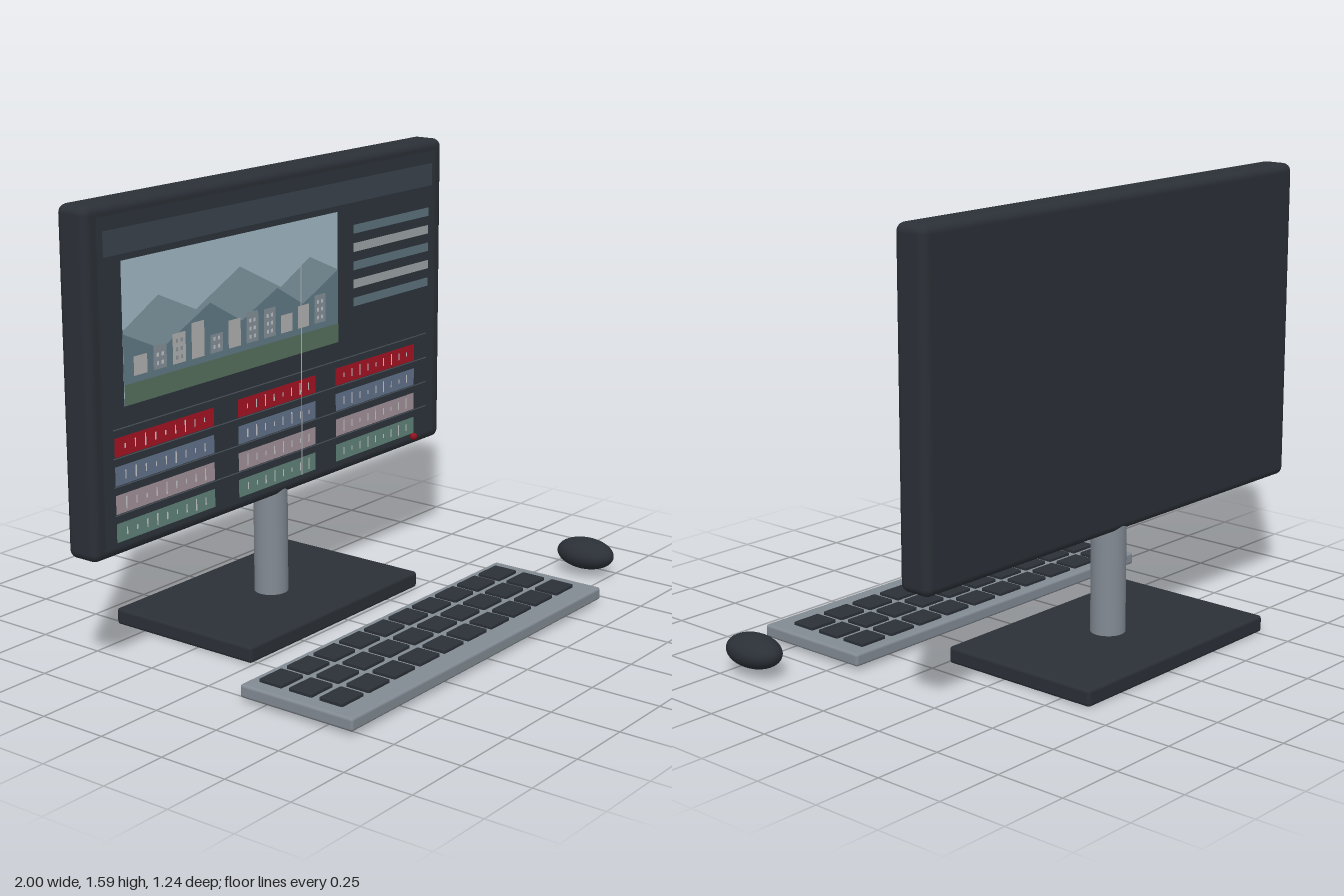
import * as THREE from 'three';
import { RoundedBoxGeometry } from 'three/addons/geometries/RoundedBoxGeometry.js';

const CX = -0.0475; // shared centre line of monitor, stand and base
const FRONT = -0.249; // front face of the monitor
const DARK = 0x2b3037, GREY = 0x828a93;

const materials = new Map();
function paint(color) {
  if (!materials.has(color)) materials.set(color, new THREE.MeshStandardMaterial({ color }));
  return materials.get(color);
}

function add(parent, name, geometry, color, x = 0, y = 0, z = 0) {
  const mesh = new THREE.Mesh(geometry, paint(color));
  mesh.name = name;
  mesh.position.set(x, y, z);
  parent.add(mesh);
  return mesh;
}

function roundedBox(parent, name, color, [x0, x1], [y0, y1], [z0, z1], radius) {
  const g = new RoundedBoxGeometry(x1 - x0, y1 - y0, z1 - z0, 3, radius);
  return add(parent, name, g, color, (x0 + x1) / 2, (y0 + y1) / 2, (z0 + z1) / 2);
}

// Flat rectangle on the screen; layer sets how far it sits in front
function panel(parent, name, color, x0, x1, y0, y1, layer) {
  return add(parent, name, new THREE.PlaneGeometry(x1 - x0, y1 - y0), color,
    (x0 + x1) / 2, (y0 + y1) / 2, FRONT + layer * 0.001);
}

// Ridge line closed down to a floor height
function ridge(parent, name, color, points, floor, layer) {
  const shape = new THREE.Shape();
  shape.moveTo(points[0][0], floor);
  points.forEach(([x, y]) => shape.lineTo(x, y));
  shape.lineTo(points[points.length - 1][0], floor);
  shape.closePath();
  add(parent, name, new THREE.ShapeGeometry(shape), color, 0, 0, FRONT + layer * 0.001);
}

function createPreview() {
  const preview = new THREE.Group();
  preview.name = 'previewPicture';
  const L = -0.848, R = 0.259;
  panel(preview, 'sky', 0xa5bdc9, L, R, 0.925, 1.396, 2);
  ridge(preview, 'farMountains', 0x829aa5, [[L, 1.17], [-0.68, 1.26], [-0.5, 1.18], [-0.275, 1.286],
    [-0.06, 1.18], [0.1, 1.26], [R, 1.19]], 0.99, 3);
  ridge(preview, 'nearMountains', 0x627c88, [[L, 1.16], [-0.67, 1.08], [-0.43, 1.19], [-0.27, 1.1],
    [-0.08, 1.18], [0.06, 1.1], [R, 1.19]], 0.99, 4);
  panel(preview, 'ground', 0x58735f, L, R, 0.925, 0.994, 5);

  // Skyline
  const heights = [0.064, 0.08, 0.102, 0.122, 0.064, 0.096, 0.107, 0.102, 0.064, 0.08, 0.102];
  heights.forEach((h, i) => {
    const x = -0.803 + i * 0.0925, y = 1.016;
    const pale = [0, 2, 3, 5, 8, 9].includes(i);
    panel(preview, 'building', pale ? 0xb4b4b4 : 0x87929c, x, x + 0.063, y, y + h, 5);
    if (pale && i !== 2) return;
    for (let wy = y + 0.014; wy < y + h - 0.015; wy += 0.028)
      for (const wx of [0.014, 0.037])
        panel(preview, 'window', pale ? 0x8d979e : 0xc4c8ca, x + wx, x + wx + 0.011, wy, wy + 0.013, 6);
  });
  return preview;
}

function createTimeline() {
  const timeline = new THREE.Group();
  timeline.name = 'timeline';
  const columns = [[-0.9, -0.42], [-0.295, 0.128], [0.246, 0.727]];
  [0xa81424, 0x64748e, 0xa4949c, 0x62857b].forEach((color, row) => {
    const y = 0.797 - row * 0.095;
    panel(timeline, 'trackLine', 0x515b65, -0.904, 0.807, y + 0.057, y + 0.061, 2);
    for (const [x0, x1] of columns) {
      panel(timeline, 'clip', color, x0, x1, y - 0.032, y + 0.032, 3);
      // Small level marks along each clip
      for (let x = x0 + 0.048, i = 0; x < x1 - 0.03; x += 0.048, i++) {
        const h = [0.008, 0.015, 0.021, 0.013][(i + row) % 4];
        panel(timeline, 'levelMark', 0xd2d2d2, x - 0.003, x + 0.003, y - h, y + h, 4);
      }
    }
  });
  panel(timeline, 'playhead', 0xb5b9bc, 0.043, 0.048, 0.48, 1.24, 7);
  return timeline;
}

function createMonitor() {
  const monitor = new THREE.Group();
  monitor.name = 'monitor';
  roundedBox(monitor, 'housing', DARK, [-1, 0.905], [0.43, 1.585], [-0.376, FRONT], 0.03);
  panel(monitor, 'screen', 0x2c353c, -0.95, 0.855, 0.462, 1.545, 1);
  panel(monitor, 'headerBar', 0x3b444f, -0.925, 0.834, 1.417, 1.5, 2);
  for (let i = 0; i < 5; i++) {
    const y = 1.32 - i * 0.0665;
    panel(monitor, 'listBar', i % 2 ? 0xa0a6a9 : 0x60747f, 0.353, 0.813, y - 0.016, y + 0.016, 2);
  }
  monitor.add(createPreview(), createTimeline());
  add(monitor, 'powerLight', new THREE.SphereGeometry(0.014, 16, 12), 0x8e1420, 0.714, 0.471, -0.235);
  return monitor;
}

function createStand() {
  const stand = new THREE.Group();
  stand.name = 'stand';
  add(stand, 'post', new THREE.CylinderGeometry(0.061, 0.061, 0.41, 40), GREY, CX, 0.25, -0.312);
  roundedBox(stand, 'base', DARK, [-0.525, 0.427], [0, 0.06], [-0.623, -0.008], 0.012);
  return stand;
}

function createKeyboard() {
  const keyboard = new THREE.Group();
  keyboard.name = 'keyboard';
  roundedBox(keyboard, 'keyboardBody', GREY, [-0.787, 0.69], [0.015, 0.061], [0.165, 0.618], 0.01);
  for (let row = 0; row < 3; row++)
    for (let col = 0; col < 10; col++) {
      const x = -0.735 + col * 0.139, z = 0.203 + row * 0.122;
      roundedBox(keyboard, 'key', DARK, [x, x + 0.112], [0.054, 0.073], [z, z + 0.092], 0.004);
    }
  return keyboard;
}

export function createModel() {
  const model = new THREE.Group();
  model.name = 'desktopWorkstation';
  model.add(createMonitor(), createStand(), createKeyboard());
  const mouse = add(model, 'mouse', new THREE.SphereGeometry(1, 40, 24), DARK, 0.925, 0.082, 0.41);
  mouse.scale.set(0.075, 0.057, 0.114);
  return model;
}
